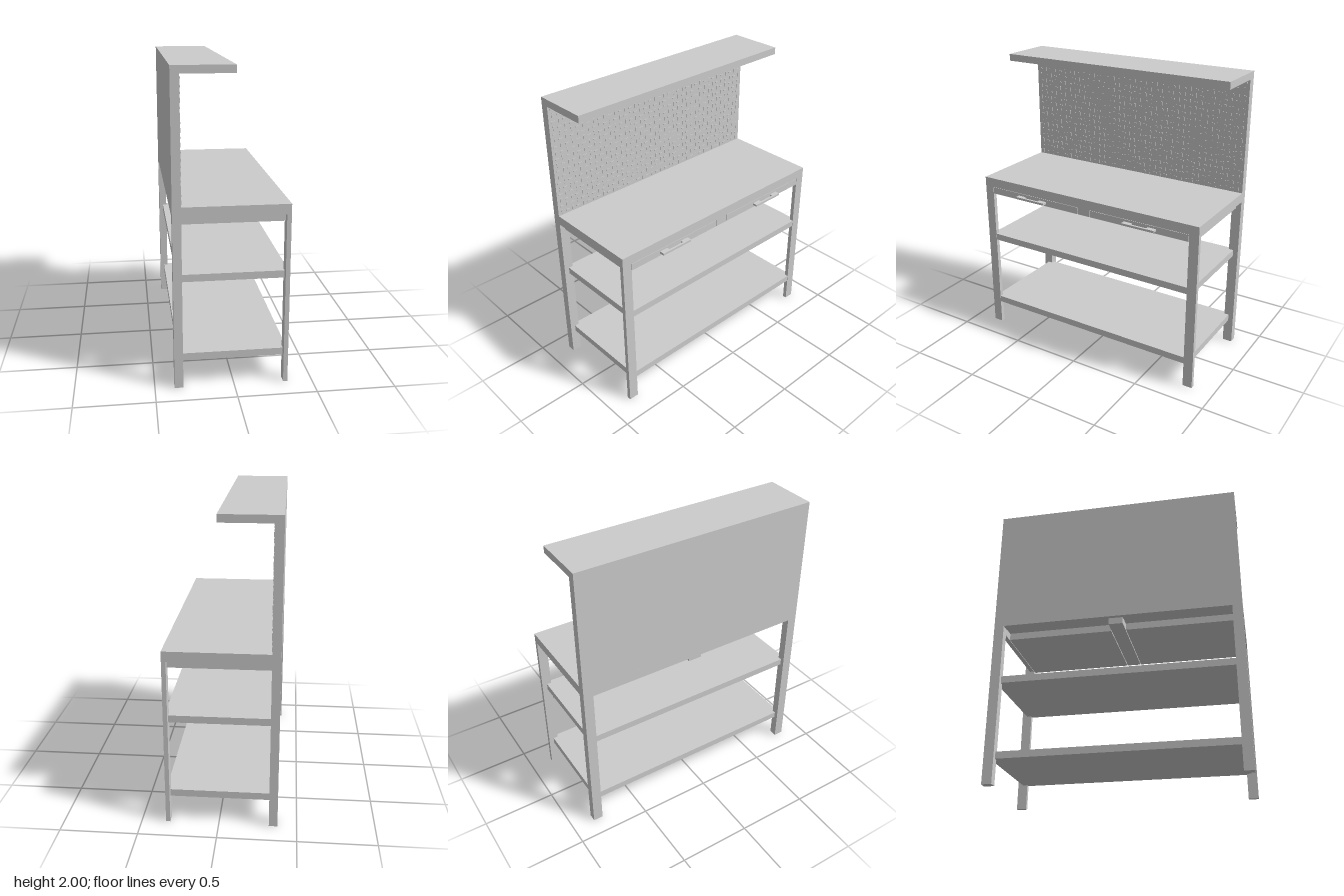
import * as THREE from 'three';
import { mergeGeometries } from 'three/addons/utils/BufferGeometryUtils.js';

const material = new THREE.MeshStandardMaterial({ color: 0xcccccc, flatShading: true });

// Box geometry from its low and high limits on each axis
function span(x0, x1, y0, y1, z0, z1) {
  return new THREE.BoxGeometry(x1 - x0, y1 - y0, z1 - z0)
    .translate((x0 + x1) / 2, (y0 + y1) / 2, (z0 + z1) / 2);
}

export function createModel() {
  const bench = new THREE.Group();
  bench.name = 'workbench';
  const add = (name, geometry) => {
    const mesh = new THREE.Mesh(geometry, material);
    mesh.name = name;
    bench.add(mesh);
  };

  const back = -0.38, front = 0.34, half = 0.847;
  const postX = -0.325, legX = 0.312, legZ = 0.78;

  // Worktop, back panel and overhead canopy
  add('worktop', span(back, front, 1.11, 1.175, -half, half));
  add('backPanel', span(back, postX, 1.175, 1.952, -half, half));
  add('backPanelSkirt', span(back, postX, 1.105, 1.11, -half, half));
  add('canopy', span(back, 0, 1.952, 2, -half, half));

  // Two shelves let into the legs
  [[0.17, 0.217], [0.693, 0.74]].forEach(([y0, y1]) =>
    add('shelf', span(-0.352, front - 0.002, y0, y1, -0.812, 0.812)));

  // Divider between the drawers
  add('drawerDivider', span(-0.352, front, 1.06, 1.11, -0.048, 0.048));

  // Handle: a flat bracket with an open grip
  const handleShape = new THREE.Shape([
    [0, -0.118], [0.034, -0.118], [0.034, 0.118], [0, 0.118],
    [0, 0.058], [0.02, 0.058], [0.02, -0.058], [0, -0.058],
  ].map(([x, y]) => new THREE.Vector2(x, y)));

  for (const side of [-1, 1]) {
    const mirrored = (x0, x1, y0, y1, z0, z1) => side > 0
      ? span(x0, x1, y0, y1, z0, z1)
      : span(x0, x1, y0, y1, -z1, -z0);
    add('backLeg', mirrored(back, postX, 0, 1.11, legZ, half));
    add('frontLeg', mirrored(legX, front, 0, 1.11, legZ, half));
    add('drawerRunner', mirrored(-0.352, 0.325, 1.06, 1.11, legZ, 0.812));
    add('drawer', mirrored(-0.25, front, 1.06, 1.108, 0.052, 0.777));
    const handle = new THREE.ExtrudeGeometry(handleShape, { depth: 0.015, bevelEnabled: false });
    add('drawerHandle', handle.rotateX(Math.PI / 2).translate(front, 1.092, side * 0.43));
  }

  // Raised studs on the panel, alternately upright and level
  const studs = [];
  const rows = 18, columns = 39, pitch = 0.043;
  for (let r = 0; r < rows; r++) {
    for (let c = 0; c < columns; c++) {
      const upright = (r + c) % 2 === 0;
      const h = upright ? 0.028 : 0.01, w = upright ? 0.01 : 0.028;
      studs.push(new THREE.BoxGeometry(0.008, h, w).translate(
        postX, 1.5635 + (r - (rows - 1) / 2) * pitch, (c - (columns - 1) / 2) * pitch));
    }
  }
  add('panelStuds', mergeGeometries(studs));

  // Centre the depth between the back and the handles
  bench.children.forEach((m) => m.geometry.translate(0.003, 0, 0));
  return bench;
}
